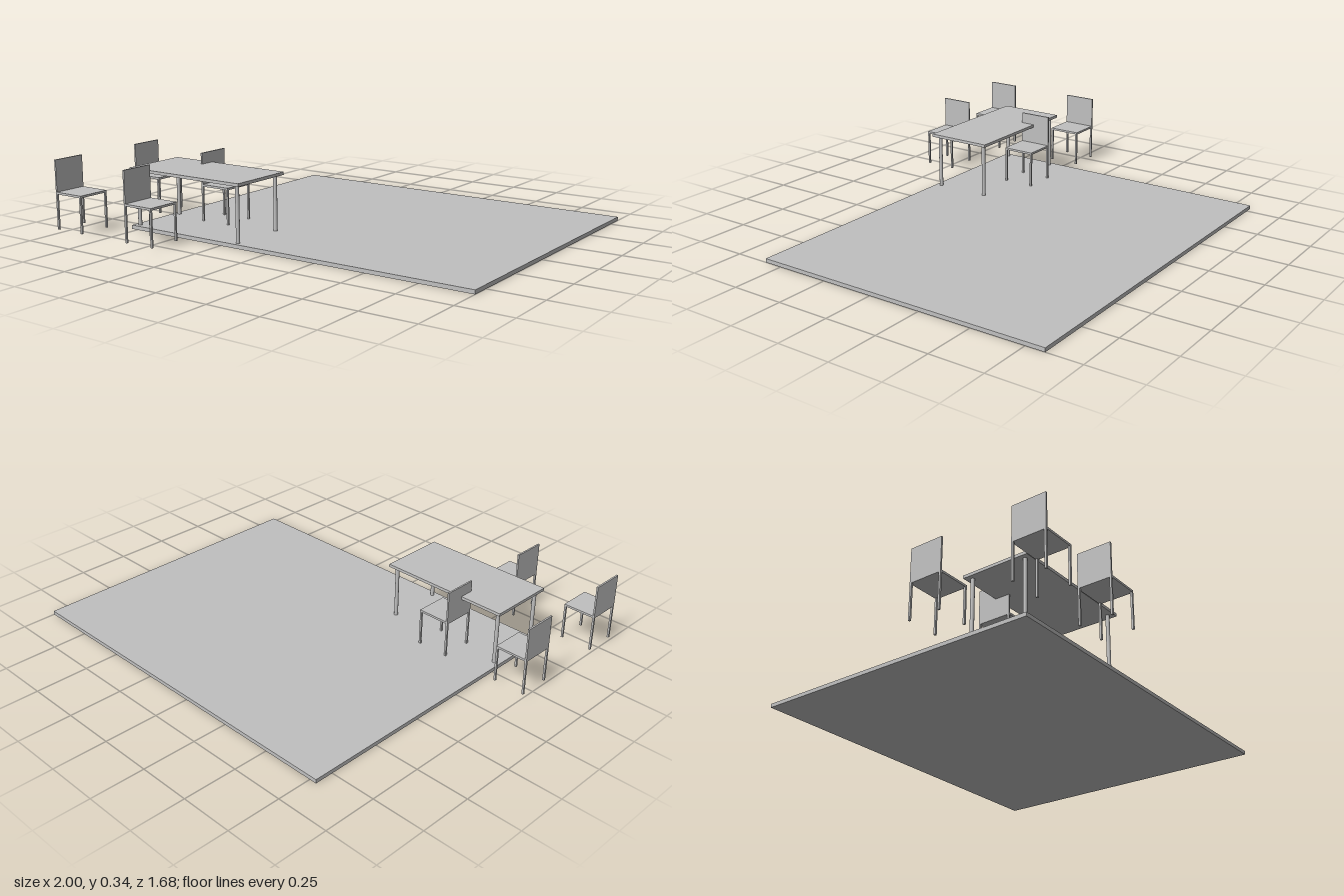
import * as THREE from 'three';

const FLOOR_TOP = 0.018;

export function createModel() {
  const grey = new THREE.MeshStandardMaterial({ color: 0xc0c0c0 });
  grey.name = 'light grey';
  const model = new THREE.Group();
  model.name = 'diningArea';

  const add = (parent, name, geometry) => {
    const mesh = new THREE.Mesh(geometry, grey);
    mesh.name = name;
    parent.add(mesh);
    return mesh;
  };

  // Box given by its minimum and maximum corners
  const box = (parent, name, [x0, y0, z0], [x1, y1, z1]) => {
    const mesh = add(parent, name, new THREE.BoxGeometry(x1 - x0, y1 - y0, z1 - z0));
    mesh.position.set((x0 + x1) / 2, (y0 + y1) / 2, (z0 + z1) / 2);
  };

  // Floor slab
  box(model, 'floor', [-0.784, 0, -0.838], [1, FLOOR_TOP, 0.587]);

  // Table: thin top on four round legs
  const table = new THREE.Group();
  table.name = 'table';
  table.position.set(-0.464, FLOOR_TOP, 0.428);
  model.add(table);
  box(table, 'tableTop', [-0.32, 0.256, -0.16], [0.32, 0.27, 0.16]);
  for (const sx of [-1, 1]) for (const sz of [-1, 1]) {
    const leg = add(table, 'tableLeg', new THREE.CylinderGeometry(0.009, 0.009, 0.256, 16));
    leg.position.set(sx * 0.292, 0.128, sz * 0.132);
  }

  // Chairs: backrest on the -x edge, legs flush with the seat corners
  const half = 0.079, legSize = 0.009;
  const addChair = (x, z) => {
    const chair = new THREE.Group();
    chair.name = 'chair';
    chair.position.set(x, FLOOR_TOP, z);
    model.add(chair);
    box(chair, 'seat', [-half, 0.164, -half], [half, 0.174, half]);
    box(chair, 'backrest', [-half, 0.174, -half], [-half + 0.008, 0.322, half]);
    for (const sx of [-1, 1]) for (const sz of [-1, 1]) {
      const cx = sx * (half - legSize / 2), cz = sz * (half - legSize / 2);
      box(chair, 'chairLeg',
        [cx - legSize / 2, 0, cz - legSize / 2],
        [cx + legSize / 2, 0.164, cz + legSize / 2]);
    }
  };
  for (const x of [-0.921, -0.494]) for (const z of [0.259, 0.759]) addChair(x, z);

  return model;
}
